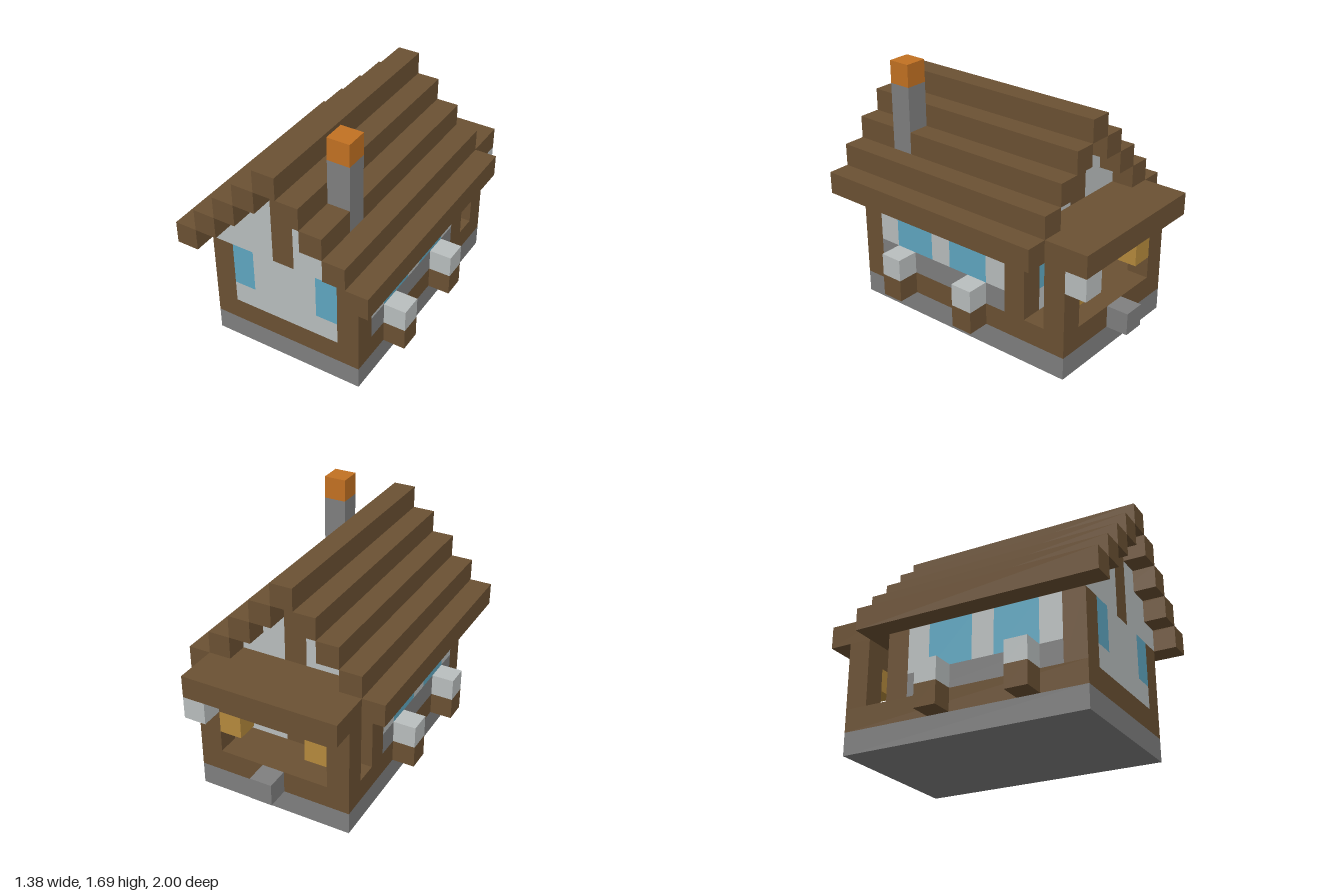
import * as THREE from 'three';

const U = 2 / 13; // one building block

export function createModel() {
  const house = new THREE.Group();
  house.name = 'cottage';

  const mat = (name, color) => {
    const m = new THREE.MeshStandardMaterial({ color });
    m.name = name;
    return m;
  };
  const wood = mat('wood', 0x6b5133);
  const stone = mat('stone', 0x7f7f7f);
  const plaster = mat('plaster', 0xb9bebe);
  const glass = mat('glass', 0x5fa7c1);
  const ember = mat('ember', 0xc27122);
  const lamp = mat('lamp', 0xb58a3c);

  // box between two corners, measured in blocks
  const box = (name, m, x0, x1, y0, y1, z0, z1) => {
    const mesh = new THREE.Mesh(
      new THREE.BoxGeometry((x1 - x0) * U, (y1 - y0) * U, (z1 - z0) * U), m);
    mesh.position.set((x0 + x1) * U / 2, (y0 + y1) * U / 2, (z0 + z1) * U / 2);
    mesh.name = name;
    house.add(mesh);
  };
  // the same box on the left and right sides
  const pair = (name, m, x0, x1, ...rest) => {
    box(name + 'Left', m, x0, x1, ...rest);
    box(name + 'Right', m, -x1, -x0, ...rest);
  };

  // foundation and floor
  box('foundation', stone, -3.5, 3.5, 0, 1, -5.5, 5.5);
  box('floor', wood, -3.5, 3.5, 1, 2, -5.5, 5.5);

  // corner posts: front, back wall, porch
  for (const [name, z] of [['frontPost', 4.5], ['backPost', -3.5], ['porchPost', -5.5]])
    pair(name, wood, 2.5, 3.5, 2, 5, z, z + 1);

  // front wall with two windows
  box('frontWall', plaster, -1.5, 1.5, 2, 5, 4.5, 5.5);
  pair('frontSill', plaster, 1.5, 2.5, 2, 3, 4.5, 5.5);
  pair('frontWindow', glass, 1.5, 2.5, 3, 5, 4.5, 5.5);

  // back wall with door and windows
  box('door', wood, -0.5, 0.5, 2, 4, -3.5, -2.5);
  box('doorHead', plaster, -0.5, 0.5, 4, 5, -3.5, -2.5);
  pair('backWall', plaster, 0.5, 1.5, 2, 5, -3.5, -2.5);
  pair('backSill', plaster, 1.5, 2.5, 2, 3, -3.5, -2.5);
  pair('backWindow', glass, 1.5, 2.5, 3, 5, -3.5, -2.5);

  // side walls: stone course, then plaster and glass in turn
  pair('sideCourse', stone, 2.5, 3.5, 2, 3, -2.5, 4.5);
  const cuts = [-2.5, -1.5, 0.5, 1.5, 3.5, 4.5];
  cuts[1] = -1.5;
  for (let i = 0; i < cuts.length - 1; i++) {
    const isGlass = i % 2 === 1;
    pair(isGlass ? 'sideWindow' : 'sideWall', isGlass ? glass : plaster,
      2.5, 3.5, 3, 5, cuts[i], cuts[i + 1]);
  }

  // planters along the sides
  for (const z of [2.5, -1.5]) {
    pair('planter', wood, 3.5, 4.5, 1, 2, z, z + 1);
    pair('planterTop', plaster, 3.5, 4.5, 2, 3, z, z + 1);
  }

  // porch: lintel, roof slab, lanterns, step and hanging block
  box('porchLintel', wood, -2.5, 2.5, 4, 5, -5.5, -4.5);
  box('porchRoof', wood, -3.5, 3.5, 5, 6, -6.5, -3.5);
  pair('lantern', lamp, 1.5, 2.5, 3, 4, -5.5, -4.5);
  box('step', stone, -0.5, 0.5, 1, 2, -6.5, -5.5);
  box('hangingBlock', plaster, 2.5, 3.5, 4, 5, -6.5, -5.5);

  // stepped gables and roof, with a gap in one row for the chimney
  box('gablePost', wood, -0.5, 0.5, 5, 9, -3.5, 5.5);
  for (let i = 0; i < 4; i++) {
    const x = 3.5 - i, y = 5 + i;
    if (i < 3) pair('gable', plaster, 0.5, x, y, y + 1, -3.5, 5.5);
    if (i === 2) {
      box('roofRowRight', wood, -x - 1, -x, y, y + 1, -4.5, 6.5);
      box('roofRowLeftBack', wood, x, x + 1, y, y + 1, -4.5, 3.5);
      box('roofRowLeftFront', wood, x, x + 1, y, y + 1, 4.5, 6.5);
    } else pair('roofRow', wood, x, x + 1, y, y + 1, -4.5, 6.5);
  }
  box('ridge', wood, -0.5, 0.5, 9, 10, -4.5, 6.5);

  // chimney
  box('chimney', stone, 1.5, 2.5, 7, 10, 3.5, 4.5);
  box('chimneyTop', ember, 1.5, 2.5, 10, 11, 3.5, 4.5);

  return house;
}
